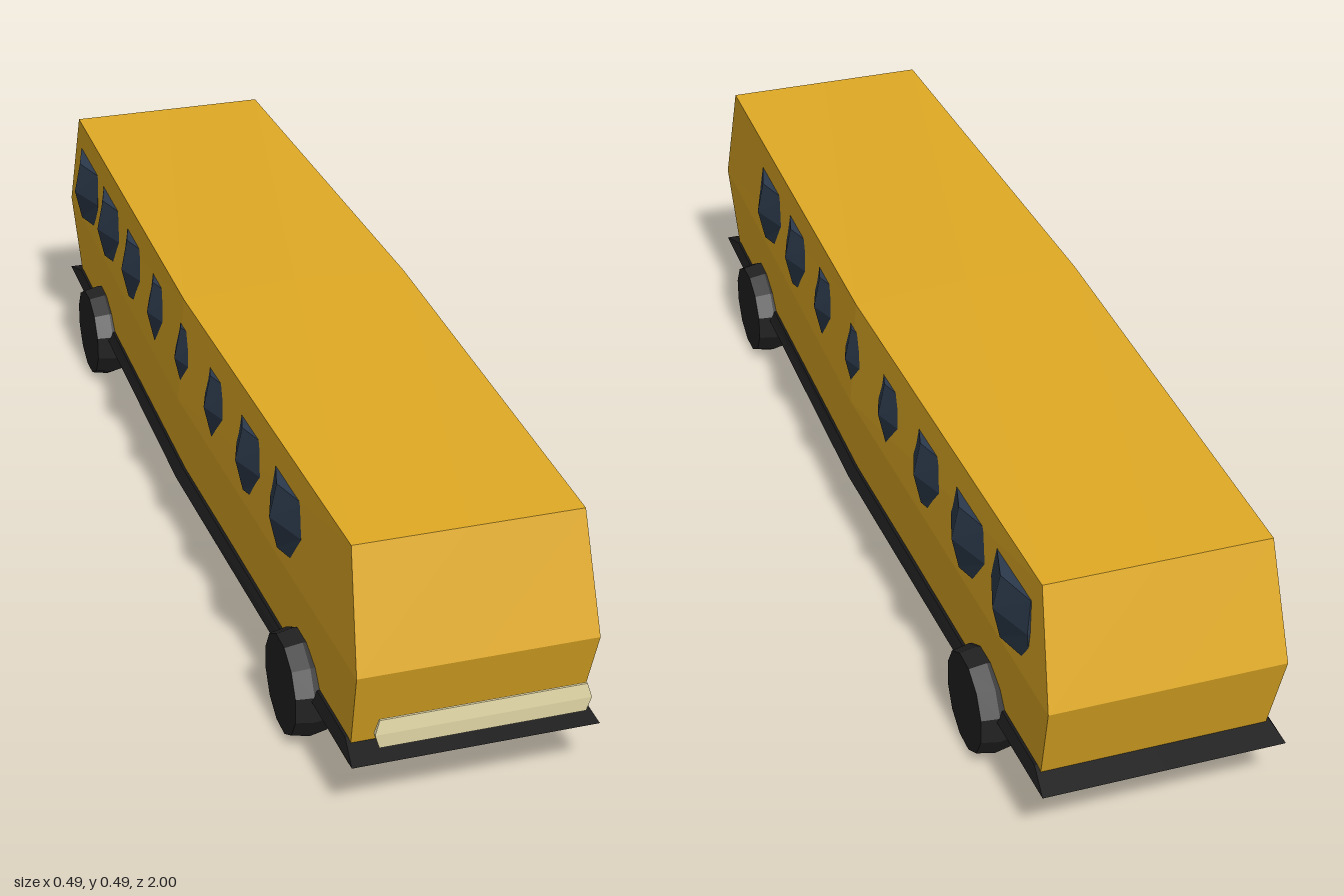
import * as THREE from 'three';

const mat = (name, color) => {
  const m = new THREE.MeshStandardMaterial({ color });
  m.name = name;
  return m;
};

// Faceted geometry: unshared vertices with one normal per face
function faceted(geometry) {
  const g = geometry.toNonIndexed();
  g.computeVertexNormals();
  return g;
}

// Box split in two along each axis, its middles pushed outwards.
// x: half widths at [corner, mid height, mid length, side centre]
// y: half heights at [edges, face centre]; z: half lengths at [edges, mid height]
function bulgedBox(x, y, z) {
  const g = new THREE.BoxGeometry(2, 2, 2, 2, 2, 2);
  const p = g.attributes.position;
  for (let i = 0; i < p.count; i++) {
    const [a, b, c] = [p.getX(i), p.getY(i), p.getZ(i)].map(Math.round);
    p.setXYZ(i,
      a * x[(b === 0 ? 1 : 0) + (c === 0 ? 2 : 0)],
      b * y[a === 0 && c === 0 ? 1 : 0],
      c * z[b === 0 ? 1 : 0]);
  }
  return faceted(g);
}

// Twelve-sided tyre with a raised middle ring, axle along x
function wheelGeometry() {
  const g = new THREE.CylinderGeometry(0.0885, 0.0885, 0.063, 12, 2, false, Math.PI / 12);
  const p = g.attributes.position;
  for (let i = 0; i < p.count; i++) {
    if (Math.abs(p.getY(i)) < 0.001) {
      p.setX(i, p.getX(i) * 1.07);
      p.setZ(i, p.getZ(i) * 1.07);
    }
  }
  g.rotateZ(Math.PI / 2);
  return faceted(g);
}

export function createModel() {
  const yellow = mat('busYellow', 0xe0aa24);
  const black = mat('trimBlack', 0x1a1a1a);
  const rubber = mat('tyreRubber', 0x222222);
  const glass = mat('darkGlass', 0x2c3a4c);
  const cream = mat('lampCream', 0xf4e8b4);

  const model = new THREE.Group();
  model.name = 'bus';
  const add = (name, geometry, material, x, y, z) => {
    const mesh = new THREE.Mesh(geometry, material);
    mesh.name = name;
    mesh.position.set(x, y, z);
    model.add(mesh);
  };

  // Body shell and the trim band around its foot
  add('body', bulgedBox([0.195, 0.205, 0.213, 0.228], [0.205, 0.218], [0.922, 0.985]),
    yellow, 0, 0.276, -0.014);
  add('trimBand', bulgedBox([0.203, 0.212, 0.222, 0.236], [0.0165, 0.018], [0.925, 0.987]),
    black, 0, 0.111, -0.013);

  // Light bar in front of the nose
  add('lightBar', bulgedBox([0.175, 0.183, 0.175, 0.183], [0.026, 0.026], [0.002, 0.004]),
    cream, 0, 0.185, 0.996);

  // Windows sink into the bulging sides; wheels in pairs
  const pane = bulgedBox([0.02, 0.027, 0.042, 0.055], [0.061, 0.061], [0.08, 0.085]);
  const wheel = wheelGeometry();
  for (const [side, s] of [['left', 1], ['right', -1]]) {
    for (let i = 0; i < 8; i++) {
      add(`${side}Window${i + 1}`, pane, glass, s * 0.18, 0.367, 0.6 - i * 0.203);
    }
    add(`${side}FrontWheel`, wheel, rubber, s * 0.2115, 0.0935, 0.687);
    add(`${side}RearWheel`, wheel, rubber, s * 0.2115, 0.0935, -0.706);
  }
  return model;
}
